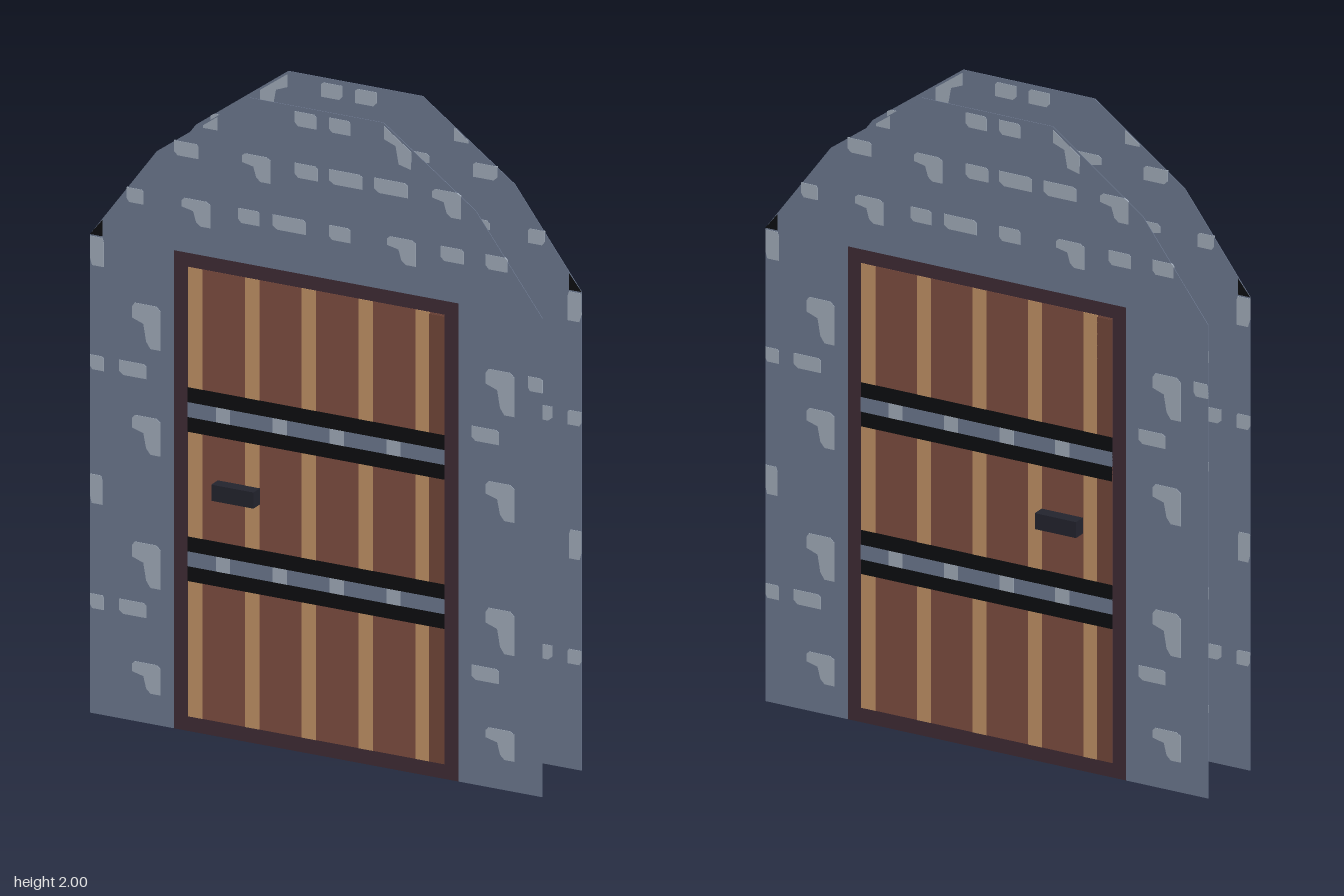
import * as THREE from 'three';

const mat = (name, color) => {
  const m = new THREE.MeshStandardMaterial({ color });
  m.name = name;
  return m;
};

export function createModel() {
  const stone = mat('stone', 0x6d7990);
  const paleStone = mat('pale stone', 0xa2adbb);
  const darkWood = mat('dark wood', 0x402c35);
  const plank = mat('plank wood', 0x7f4e41);
  const shadePlank = mat('shaded plank wood', 0x74483a);
  const lightWood = mat('light wood', 0xc39366);
  const black = mat('black iron', 0x0d0e10);
  const handleIron = mat('handle iron', 0x23242e);

  const DEPTH = 0.122, W = 0.465, H = 1.483;
  const root = new THREE.Group();
  root.name = 'doorway';

  const add = (parent, name, geometry, material) => {
    const mesh = new THREE.Mesh(geometry, material);
    mesh.name = name;
    parent.add(mesh);
    return mesh;
  };

  // Thin closed plate centred on z = 0, so it shows on both sides of the wall
  const plate = (parent, name, points, t, material) => {
    const shape = new THREE.Shape(points.map(([x, y]) => new THREE.Vector2(x, y)));
    const g = new THREE.ExtrudeGeometry(shape, { depth: t, bevelEnabled: false });
    return add(parent, name, g.translate(0, 0, -t / 2), material);
  };
  const rect = (parent, name, x0, y0, x1, y1, t, material) =>
    plate(parent, name, [[x0, y0], [x1, y0], [x1, y1], [x0, y1]], t, material);

  // Pale stones: top left corner x, y and width, height
  const brick = (parent, x, y, w, h = 0.045) => plate(parent, 'paleBrick', [
    [x, y - h * 0.75], [x + w * 0.15, y - h], [x + w, y - h],
    [x + w, y - h * 0.15], [x + w * 0.9, y], [x, y],
  ], 0.005, paleStone);
  const hook = (parent, x, y, w = 0.094, h = 0.135) => plate(parent, 'paleHookStone', [
    [x, y - h * 0.35], [x + w * 0.4, y - h * 0.45], [x + w * 0.5, y - h * 0.85],
    [x + w * 0.65, y - h], [x + w, y - h], [x + w, y - h * 0.1],
    [x + w * 0.85, y], [x + w * 0.1, y], [x, y - h * 0.1],
  ], 0.005, paleStone);

  const makeFace = (name) => {
    const face = new THREE.Group();
    face.name = name;

    // Arched stone wall with the doorway left open
    plate(face, 'stoneWall', [
      [-0.74, 0], [-W, 0], [-W, H], [W, H], [W, 0], [0.74, 0], [0.74, 1.485],
      [0.522, 1.78], [0.22, 2], [-0.22, 2], [-0.522, 1.78], [-0.74, 1.485],
    ], 0.002, stone);
    plate(face, 'darkCorner', [[-0.74, 1.485], [-0.7, 1.485], [-0.7, 1.535]], 0.005, black);

    // Stones on the arch
    [[-0.07, 1.985, 0.07], [0.042, 1.985, 0.07],
      [-0.465, 1.825, 0.08], [-0.07, 1.825, 0.075], [0.042, 1.825, 0.11], [0.19, 1.825, 0.11],
      [-0.62, 1.652, 0.055], [-0.255, 1.652, 0.07], [-0.143, 1.652, 0.11],
      [0.042, 1.652, 0.07], [0.408, 1.652, 0.075], [0.555, 1.652, 0.07],
    ].forEach((b) => brick(face, ...b));
    [[-0.243, 1.825], [0.38, 1.825], [-0.44, 1.652], [0.232, 1.652]]
      .forEach(([x, y]) => hook(face, x, y, 0.094, 0.08));
    plate(face, 'paleEdgeStone', [[-0.37, 1.88], [-0.323, 1.88], [-0.323, 1.922], [-0.37, 1.888]], 0.005, paleStone);
    plate(face, 'paleEdgeStone', [[0.222, 1.95], [0.26, 1.935], [0.27, 1.88], [0.31, 1.87],
      [0.312, 1.925], [0.222, 1.99]], 0.005, paleStone);

    // Stones beside the door
    for (const x of [-0.603, 0.555]) {
      for (const y of [1.298, 0.557]) hook(face, x, y);
      hook(face, x, 0.95, 0.094, 0.115);
      hook(face, x, 0.186, 0.094, 0.092);
    }
    for (const y of [1.112, 0.371]) {
      brick(face, -0.645, y, 0.09);
      brick(face, 0.508, y, 0.09);
      brick(face, -0.74, y, 0.045);
    }
    brick(face, -0.74, 1.48, 0.045, 0.09);
    brick(face, -0.74, 0.742, 0.04, 0.09);
    brick(face, 0.693, 1.298, 0.047);

    // Door frame and planks
    rect(face, 'doorFrame', -W, 0, W, H, 0.002, darkWood);
    rect(face, 'planks', -0.42, 0.046, 0.42, 1.44, 0.004, plank);
    rect(face, 'edgePlank', 0.37, 0.046, 0.42, 1.435, 0.006, shadePlank);
    for (let i = 0; i < 5; i++) {
      const x = -0.419 + i * 0.186;
      rect(face, 'lightStripe', x, 0.046, x + 0.047, 1.44, 0.006, lightWood);
    }

    // Iron bands with studs
    for (const y of [0.998, 0.535]) {
      rect(face, 'bandEdge', -0.42, y - 0.069, 0.42, y + 0.069, 0.0075, black);
      rect(face, 'bandCentre', -0.42, y - 0.023, 0.42, y + 0.023, 0.0085, stone);
      for (let i = 0; i < 4; i++) {
        const x = -0.327 + i * 0.186;
        rect(face, 'stud', x, y - 0.023, x + 0.047, y + 0.023, 0.0095, paleStone);
      }
    }
    root.add(face);
    return face;
  };

  makeFace('frontFace').position.z = DEPTH;
  const back = makeFace('backFace');
  back.position.z = -DEPTH;
  back.rotation.y = Math.PI;

  // Outward facing jambs and lintel joining both faces; the bottom stays open
  for (const s of [-1, 1]) {
    const jamb = add(root, s > 0 ? 'leftJamb' : 'rightJamb', new THREE.PlaneGeometry(DEPTH * 2, H), darkWood);
    jamb.rotation.y = s * Math.PI / 2;
    jamb.position.set(s * W, H / 2, 0);

    // Door handle on each side
    const handle = add(root, s > 0 ? 'frontHandle' : 'backHandle', new THREE.BoxGeometry(0.138, 0.05, 0.042), handleIron);
    handle.position.set(-0.253, 0.77, s * (DEPTH + 0.021));
  }
  const lintel = add(root, 'lintel', new THREE.PlaneGeometry(W * 2, DEPTH * 2), darkWood);
  lintel.rotation.x = -Math.PI / 2;
  lintel.position.y = H;

  return root;
}
